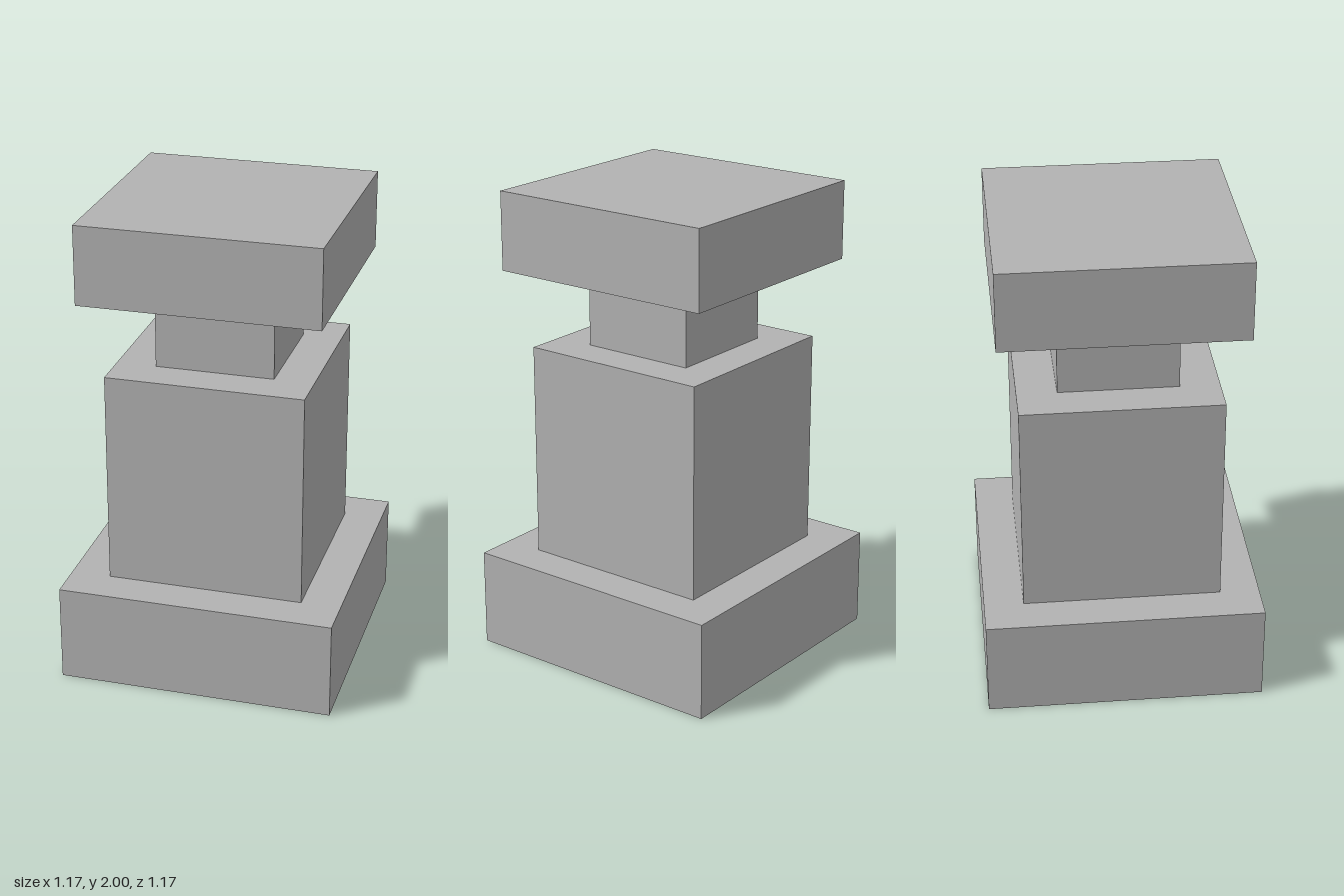
import * as THREE from 'three';

export function createModel() {
  const group = new THREE.Group();
  group.name = 'pedestal';
  const stone = new THREE.MeshStandardMaterial({ color: 0xb2b2b2 });
  stone.name = 'stone grey';
  const U = 1 / 12; // grid unit: the model is 24 units tall

  const add = (name, geometry) => {
    const mesh = new THREE.Mesh(geometry, stone);
    mesh.name = name;
    group.add(mesh);
  };

  // square outline of a given width, centred on the origin
  const square = (PathType, width) => {
    const h = (width * U) / 2;
    return new PathType([[-h, -h], [h, -h], [h, h], [-h, h]].map(([x, y]) => new THREE.Vector2(x, y)));
  };

  // base: square block with a square socket open to the bottom
  const outline = square(THREE.Shape, 14);
  outline.holes.push(square(THREE.Path, 8));
  add('base', new THREE.ExtrudeGeometry(outline, { depth: 5 * U, bevelEnabled: false }).rotateX(-Math.PI / 2));

  // stacked square blocks: name, width, bottom, height
  for (const [name, width, bottom, height] of [
    ['body', 10, 5, 11],
    ['neck', 6, 16, 4],
    ['cap', 12, 20, 4],
  ]) {
    add(name, new THREE.BoxGeometry(width * U, height * U, width * U).translate(0, (bottom + height / 2) * U, 0));
  }
  return group;
}
